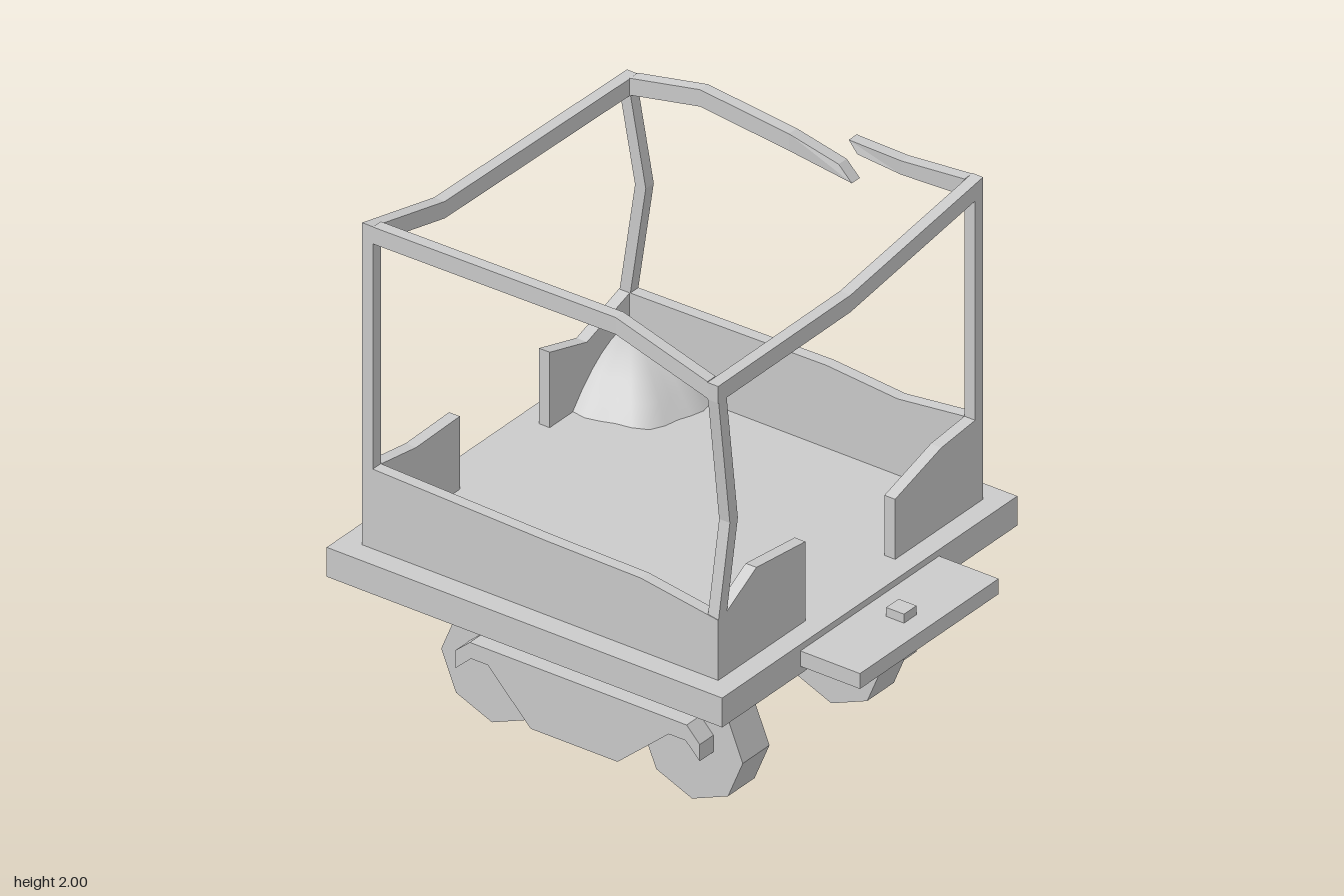
import * as THREE from 'three';

const V = (x, y, z) => new THREE.Vector3(x, y, z);

export function createModel() {
  const model = new THREE.Group();
  const flat = new THREE.MeshStandardMaterial({ color: 0xcccccc, flatShading: true });
  const smooth = new THREE.MeshStandardMaterial({ color: 0xcccccc, side: THREE.DoubleSide });

  const add = (name, geometry, x = 0, y = 0, z = 0, material = flat) => {
    const mesh = new THREE.Mesh(geometry, material);
    mesh.name = name;
    mesh.position.set(x, y, z);
    model.add(mesh);
    return mesh;
  };

  // Box given by its minimum and maximum corners
  const block = (name, a, b) => add(name,
    new THREE.BoxGeometry(b[0] - a[0], b[1] - a[1], b[2] - a[2]),
    (a[0] + b[0]) / 2, (a[1] + b[1]) / 2, (a[2] + b[2]) / 2);

  // Four-sided bar through stations [x, y, z, optional half-height vector]
  const bar = (name, stations, u, v) => {
    const first = V(...stations[0].slice(0, 3));
    const along = V(...stations[stations.length - 1].slice(0, 3)).sub(first);
    const side = u.clone();
    if (side.clone().cross(v).dot(along) < 0) side.negate();
    const rings = stations.map(([x, y, z, own]) =>
      [[-1, -1], [1, -1], [1, 1], [-1, 1]].map(([a, b]) =>
        V(x, y, z).addScaledVector(side, a).addScaledVector(own || v, b)));
    const out = [];
    const quad = (a, b, c, d) => out.push(a, b, c, a, c, d);
    for (let i = 0; i + 1 < rings.length; i++)
      for (let k = 0; k < 4; k++) {
        const n = (k + 1) % 4;
        quad(rings[i][k], rings[i][n], rings[i + 1][n], rings[i + 1][k]);
      }
    const [s, e] = [rings[0], rings[rings.length - 1]];
    quad(s[0], s[3], s[2], s[1]);
    quad(e[0], e[1], e[2], e[3]);
    const g = new THREE.BufferGeometry().setFromPoints(out);
    g.computeVertexNormals();
    return add(name, g);
  };

  const slab = (points, depth) => new THREE.ExtrudeGeometry(
    new THREE.Shape(points.map(([x, y]) => new THREE.Vector2(x, y))),
    { depth, bevelEnabled: false });
  // Same, but the outline is in (z, y) and the thickness runs along x
  const sideSlab = (points, depth) =>
    slab(points.map(([z, y]) => [-z, y]), depth).rotateY(Math.PI / 2);

  // Deck and towing plate
  block('deck', [-0.83, 0.59, -0.955], [0.83, 0.705, 0.705]);
  block('towPlate', [-0.39, 0.62, 0.7], [0.39, 0.68, 0.955]);
  block('towPin', [-0.035, 0.535, 0.8], [0.035, 0.715, 0.875]);

  // Torn wall panels: top edges from one end to the other
  const T = 0.045, floor = 0.7;
  const wall = (top) => [[top[0][0], floor], [top[top.length - 1][0], floor], ...[...top].reverse()];
  add('leftWall', sideSlab(wall([[0.625, 1.04], [0.3, 1.003], [0, 1.028], [-0.87, 1.018]]), T), 0.745 - T);
  add('rightWall', sideSlab(wall([[0.625, 0.94], [0.3, 0.99], [-0.1, 0.995], [-0.87, 1.018]]), T), -0.745);
  const inner = 0.745 - T;
  add('frontRightPanel', slab(wall([[-inner, 0.95], [-0.53, 1.045], [-0.255, 1.015]]), T), 0, 0, 0.625 - T);
  add('frontLeftPanel', slab(wall([[0.25, 0.94], [0.51, 1.018], [inner, 1.035]]), T), 0, 0, 0.625 - T);
  add('backRightPanel', slab(wall([[-inner, 1.015], [-0.5, 0.985], [-0.255, 0.99]]), T), 0, 0, -0.87);
  add('backLeftPanel', slab(wall([[0.25, 1.0], [0.46, 0.94], [inner, 1.018]]), T), 0, 0, -0.87);

  // Corner posts, two of them bent
  const X = V(0.0225, 0, 0), Z = V(0, 0, 0.0225), H = V(0, 0.033, 0);
  const px = 0.7225, pf = 0.6025, pb = -0.8475;
  bar('frontLeftPost', [[px, 1.0, pf], [px, 1.92, pf]], X, Z);
  bar('backRightPost', [[-px, 0.99, pb], [-px, 1.92, pb]], X, Z);
  bar('frontRightPost', [[-px, 0.93, pf], [-0.657, 1.29, pf], [-px, 1.81, pf]], X, Z);
  bar('backLeftPost', [[px, 1.0, pb], [px, 1.45, -0.78], [px, 1.81, pb]], X, Z);

  // Sagging top rails
  bar('frontRail', [[-0.745, 1.822, pf], [0, 1.825, pf], [0.745, 1.932, pf]], Z, H);
  bar('backRail', [[-0.745, 1.932, pb], [-0.34, 1.838, pb], [0.745, 1.822, pb]], Z, H);
  bar('rightRail', [[-px, 1.825, 0.58], [-0.69, 1.915, 0.17], [-px, 1.931, -0.825]], X, H);
  // Left rail, snapped into two pieces with slanted ends
  bar('leftRailBack', [[px, 1.825, -0.825], [px, 1.885, -0.53], [0.74, 1.832, -0.17],
    [0.78, 1.763, 0.037, V(0, 0.0275, -0.0275)]], X, H);
  bar('leftRailFront', [[px, 1.93, 0.58], [0.688, 1.938, 0.34, V(0, 0.027, 0)],
    [0.648, 1.977, 0.168, V(0, 0.022, -0.018)]], X, H);

  // Loose heaps in two opposite corners of the deck
  const heap = (name, x, z, sx, sz, turn) => {
    const g = new THREE.PlaneGeometry(1, 1, 10, 6);
    const p = g.attributes.position, uv = g.attributes.uv;
    for (let i = 0; i < p.count; i++) {
      const a = uv.getX(i) * Math.PI / 2, t = 1 - uv.getY(i);
      const c = Math.abs(Math.cos(a)), s = Math.abs(Math.sin(a));
      const r = t * (1 + 0.03 * Math.sin(a * 10)) / Math.pow(c ** 3 + s ** 3, 1 / 3);
      p.setXYZ(i, -r * c * sx, 0.2 * (1 - t * t), r * s * sz);
    }
    g.computeVertexNormals();
    add(name, g, x, 0.706, z, smooth).rotation.y = turn;
  };
  heap('backHeap', 0.7, -0.825, 0.32, 0.34, 0);
  heap('frontHeap', -0.7, 0.58, 0.3, 0.3, Math.PI);

  // Bogies: strut, hooked beam and two octagonal wheels per side
  const beam = [[0.4, 0.215], [0.4, 0.28], [0.345, 0.337], [-0.565, 0.337], [-0.625, 0.285],
    [-0.625, 0.215], [-0.56, 0.275], [-0.49, 0.275], [-0.31, 0.09], [0.055, 0.09],
    [0.27, 0.275], [0.34, 0.275]];
  for (const [side, x] of [['left', 0.388], ['right', -0.395]]) {
    block(side + 'Strut', [x - 0.05, 0.33, -0.285], [x + 0.05, 0.6, 0.045]);
    add(side + 'BogieBeam', sideSlab(beam, 0.305), x - 0.1525);
    for (const [end, z] of [['Front', 0.31], ['Back', -0.53]])
      add(side + end + 'Wheel',
        new THREE.CylinderGeometry(0.213, 0.213, 0.15, 8).rotateZ(Math.PI / 2), x, 0.213, z);
  }

  return model;
}
